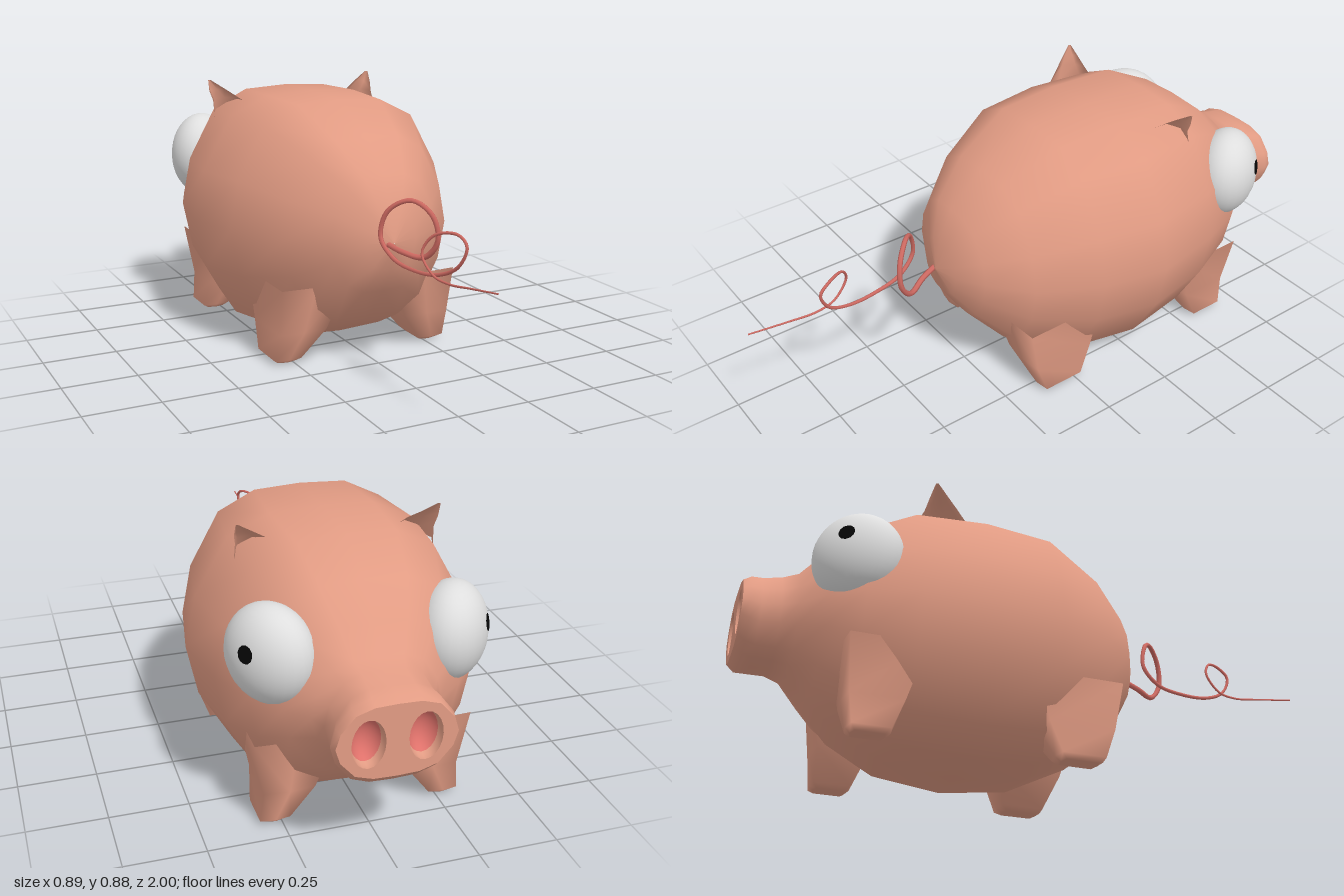
import * as THREE from 'three';

const mat = (name, color, side = THREE.FrontSide) => {
  const m = new THREE.MeshStandardMaterial({ color, side });
  m.name = name;
  return m;
};

// Skin over a list of closed rings of [x, y, z]; the last ring may be closed by a fan.
function loft(rings, cap = false, flip = false) {
  const n = rings[0].length, pos = rings.flat(2), idx = [];
  const tri = (a, b, c) => (flip ? idx.push(a, c, b) : idx.push(a, b, c));
  for (let i = 0; i < rings.length - 1; i++)
    for (let j = 0; j < n; j++) {
      const k = (j + 1) % n, a = i * n + j, b = i * n + k;
      tri(a, b, a + n);
      tri(b, b + n, a + n);
    }
  if (cap) {
    const last = rings.at(-1), base = (rings.length - 1) * n;
    pos.push(...[0, 1, 2].map((c) => last.reduce((s, p) => s + p[c], 0) / n));
    for (let j = 0; j < n; j++) tri(base + j, base + (j + 1) % n, rings.length * n);
  }
  const g = new THREE.BufferGeometry();
  g.setAttribute('position', new THREE.Float32BufferAttribute(pos, 3));
  g.setIndex(idx);
  g.computeVertexNormals();
  return g;
}

// Boxy-round cross-section of the body, from the top round through +x
const quarter = [[0, 1], [0.38, 0.98], [0.68, 0.83], [0.92, 0.4]];
const section = [
  ...quarter,
  [1, 0], ...quarter.slice(1).reverse().map(([x, y]) => [x, -y]),
  [0, -1], ...quarter.slice(1).map(([x, y]) => [-x, -y]),
  [-1, 0], ...quarter.slice(1).reverse().map(([x, y]) => [-x, y]),
];

export function createModel() {
  const pig = new THREE.Group();
  pig.name = 'pig';
  const skin = mat('skin', 0xe19b83);
  const skinInner = mat('skinInner', 0xe19b83, THREE.DoubleSide);
  const rose = mat('rose', 0xe0726b, THREE.DoubleSide);
  const white = mat('eyeWhite', 0xdedede);
  const black = mat('pupilBlack', 0x060606);
  const add = (name, geo, m, parent = pig) => {
    const mesh = new THREE.Mesh(geo, m);
    mesh.name = name;
    parent.add(mesh);
    return mesh;
  };

  // Body and snout: z, half width, bottom, top, sideways shift
  const stations = [
    [0.35, 0.001, 0.439, 0.441, 0], [0.33, 0.09, 0.35, 0.54, 0], [0.28, 0.19, 0.265, 0.65, 0],
    [0.16, 0.3, 0.125, 0.755, 0], [-0.04, 0.405, 0.03, 0.85, 0], [-0.27, 0.445, 0.005, 0.855, 0],
    [-0.5, 0.41, 0.03, 0.85, 0], [-0.66, 0.35, 0.11, 0.77, 0], [-0.76, 0.27, 0.21, 0.68, 0.005],
    [-0.83, 0.195, 0.285, 0.61, 0.015], [-0.88, 0.17, 0.3, 0.595, 0.02], [-0.94, 0.17, 0.3, 0.58, 0.02],
    [-0.975, 0.185, 0.305, 0.572, 0.02], [-1, 0.178, 0.33, 0.555, 0.02],
  ];
  add('body', loft(stations.map(([z, w, lo, hi, dx]) =>
    section.map(([x, y]) => [dx + x * w, (lo + hi) / 2 + y * (hi - lo) / 2, z]))), skin);

  // Snout disc with two nostril holes
  const disc = new THREE.Shape(section.map(([x, y]) => new THREE.Vector2(x * 0.178, y * 0.1125)));
  for (const s of [-1, 1])
    disc.holes.push(new THREE.Path().absellipse(s * 0.083, 0, 0.05, 0.075, 0, Math.PI * 2, true));
  const discGeo = new THREE.ShapeGeometry(disc, 10);
  discGeo.rotateY(Math.PI);
  discGeo.translate(0.02, 0.4425, -1);
  add('snoutDisc', discGeo, skin);

  // Nostril bowls: skin-coloured lip, rose inside
  for (const s of [-1, 1])
    for (const [name, m, from, len] of [['nostrilLip', skinInner, 1.1, Math.PI / 2 - 1.1], ['nostril', rose, 0, 1.1]]) {
      const g = new THREE.SphereGeometry(1, 20, 6, 0, Math.PI * 2, from, len);
      g.rotateX(Math.PI / 2);
      g.scale(0.05, 0.075, 0.06);
      g.translate(0.02 + s * 0.083, 0.4425, -1);
      add(name, g, m);
    }

  for (const s of [1, -1]) {
    const side = s > 0 ? 'left' : 'right';

    // Legs: tapered blocks flaring into the belly; y, x in, x out, z front, z back
    const legs = {
      FrontLeg: [[0.3, 0.08, 0.34, -0.7, -0.46], [0.12, 0.15, 0.31, -0.685, -0.515], [0.02, 0.225, 0.32, -0.675, -0.555], [0.006, 0.24, 0.3, -0.66, -0.57]],
      BackLeg: [[0.28, 0.08, 0.32, -0.1, 0.19], [0.12, 0.15, 0.315, -0.06, 0.16], [0.02, 0.225, 0.32, -0.02, 0.125], [0.006, 0.24, 0.3, 0, 0.105]],
    };
    for (const [name, rows] of Object.entries(legs)) {
      const rings = rows.map(([y, xi, xo, zf, zb]) => {
        const zm = (zf + zb) / 2;
        return [[xo, y, zf], [xo, y, zb], [(xi + xo) / 2, y, zb + 0.008], [xi, y, zb], [xi, y, zf], [(xi + xo) / 2, y, zf - 0.008]]
          .map(([x, yy, z]) => [s * x, yy, zm + (z - zm)]);
      });
      add(side + name, loft(rings, true, s < 0), skin);
    }

    // Ears: short leaning points; centre x, y, z, radius x, radius z
    const earRows = [[0.24, 0.76, -0.4, 0.075, 0.1], [0.262, 0.82, -0.415, 0.052, 0.055],
      [0.288, 0.852, -0.432, 0.033, 0.03], [0.314, 0.888, -0.447, 0.005, 0.005]];
    add(side + 'Ear', loft(earRows.map(([x, y, z, rx, rz]) =>
      Array.from({ length: 7 }, (_, i) => {
        const a = (i / 7) * Math.PI * 2;
        return [s * (x + Math.cos(a) * rx), y, z + Math.sin(a) * rz];
      })), true, s < 0), skin);

    // Bulging eyes, flattened along their outward axis (local x)
    const eye = new THREE.Group();
    eye.name = side + 'Eye';
    eye.position.set(s > 0 ? 0.282 : -0.268, 0.583, s > 0 ? -0.67 : -0.678);
    eye.rotation.y = s > 0 ? 0.585 : Math.PI - 0.585;
    pig.add(eye);
    add('eyeball', new THREE.SphereGeometry(1, 28, 20).scale(0.11, 0.152, 0.148), white, eye);
    const cap = new THREE.SphereGeometry(1.012, 12, 3, 0, Math.PI * 2, 0, 0.18);
    cap.rotateZ(-Math.PI / 2 + 0.24);
    cap.scale(0.11, 0.152, 0.148);
    add('pupil', cap, black, eye);
  }

  // Curly tail, thinning to the tip
  const curve = new THREE.CatmullRomCurve3([
    [-0.02, 0.44, 0.33], [0.0, 0.425, 0.4], [0.04, 0.42, 0.47], [0.06, 0.48, 0.515], [0.045, 0.56, 0.505],
    [0, 0.602, 0.455], [-0.055, 0.565, 0.405], [-0.072, 0.48, 0.39], [-0.06, 0.425, 0.45], [-0.045, 0.41, 0.55],
    [-0.025, 0.422, 0.66], [-0.005, 0.465, 0.74], [0.004, 0.53, 0.768], [-0.005, 0.558, 0.73], [-0.045, 0.545, 0.665],
    [-0.07, 0.49, 0.64], [-0.062, 0.435, 0.69], [-0.052, 0.425, 0.76], [-0.045, 0.44, 0.87], [-0.04, 0.46, 1],
  ].map((p) => new THREE.Vector3(...p)));
  const steps = 110, sides = 6;
  const tail = new THREE.TubeGeometry(curve, steps, 0.01, sides);
  const pos = tail.attributes.position, v = new THREE.Vector3();
  for (let i = 0; i < pos.count; i++) {
    const t = Math.floor(i / (sides + 1)) / steps, c = curve.getPointAt(t);
    v.fromBufferAttribute(pos, i).sub(c).multiplyScalar(1 - 0.75 * t).add(c);
    pos.setXYZ(i, v.x, v.y, v.z);
  }
  add('tail', tail, mat('tailRed', 0xcf6a62));

  return pig;
}
